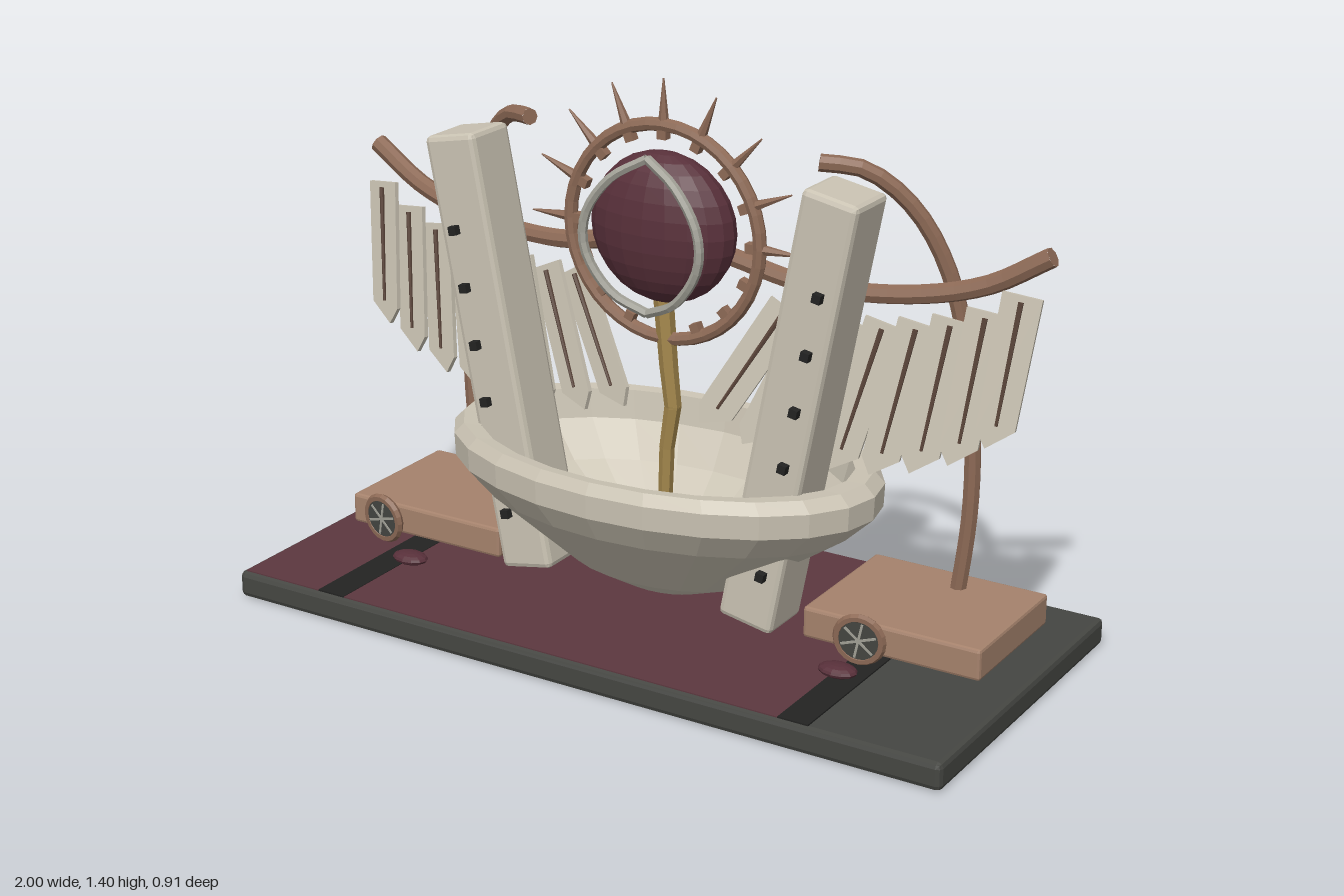
import * as THREE from 'three';
import { RoundedBoxGeometry } from 'three/addons/geometries/RoundedBoxGeometry.js';

const colours = {
  ivory: 0xcac3b3, tan: 0xa5826c, bronze: 0x8d6a56, darkBrown: 0x5b453a, charcoal: 0x454642,
  black: 0x232322, maroon: 0x5c383f, orbRed: 0x58303a, gold: 0xa3874c, silver: 0xa3a298,
};
const mat = {};
for (const [name, color] of Object.entries(colours)) {
  mat[name] = new THREE.MeshStandardMaterial({ color });
  mat[name].name = name;
}

// Faceted mesh: every face gets its own normal
function add(parent, name, geo, material, x = 0, y = 0, z = 0) {
  const g = geo.index ? geo.toNonIndexed() : geo;
  g.computeVertexNormals();
  const mesh = new THREE.Mesh(g, material);
  mesh.name = name;
  mesh.position.set(x, y, z);
  parent.add(mesh);
  return mesh;
}

const box = (w, h, d) => new THREE.BoxGeometry(w, h, d);
const bevelBox = (w, h, d, r) => new RoundedBoxGeometry(w, h, d, 1, r);

// Tube with closed ends through a list of points; s mirrors x
function rod(parent, name, pts, radius, material, s = 1, segments = 20, sides = 8) {
  const v = pts.map(p => new THREE.Vector3(p[0] * s, p[1], p[2]));
  const curve = new THREE.CatmullRomCurve3(v);
  add(parent, name, new THREE.TubeGeometry(curve, segments, radius, sides), material);
  for (const [t, sign] of [[0, -1], [1, 1]]) {
    const cap = add(parent, name + 'End', new THREE.CircleGeometry(radius, sides), material);
    cap.position.copy(curve.getPoint(t));
    cap.quaternion.setFromUnitVectors(new THREE.Vector3(0, 0, 1), curve.getTangent(t).multiplyScalar(sign));
  }
  return curve;
}

function buildBase(root) {
  const g = new THREE.Group();
  g.name = 'base';
  root.add(g);
  add(g, 'baseSlab', bevelBox(2, 0.07, 0.91, 0.014), mat.charcoal, 0, 0.035, 0);
  add(g, 'carpet', box(1.565, 0.003, 0.886), mat.maroon, -0.2025, 0.071, 0);
  for (const x of [-0.71, 0.62]) add(g, 'topStripe', box(0.08, 0.004, 0.888), mat.black, x, 0.072, 0);
}

function buildBowl(root) {
  const profile = [[0, 0.105], [0.12, 0.107], [0.26, 0.16], [0.40, 0.255], [0.51, 0.33], [0.585, 0.40], [0.588, 0.46],
    [0.56, 0.488], [0.51, 0.485], [0.49, 0.41], [0.40, 0.32], [0.25, 0.23], [0.1, 0.19], [0, 0.185]];
  const geo = new THREE.LatheGeometry(profile.map(p => new THREE.Vector2(...p)), 24);
  geo.scale(1, 1, 0.6);
  add(root, 'bowl', geo, mat.ivory);
}

function buildHalo(root) {
  const g = new THREE.Group();
  g.name = 'halo';
  root.add(g);
  const orb = new THREE.SphereGeometry(1, 20, 14);
  orb.scale(0.197, 0.188, 0.1);
  add(g, 'orb', orb, mat.orbRed, 0, 1.035, 0);
  add(g, 'ring', new THREE.TorusGeometry(0.267, 0.017, 8, 40), mat.bronze, 0, 1.02, 0);
  // Radial studs inside the ring, long spikes over the upper half
  for (let i = 0; i < 16; i++) {
    const a = i * Math.PI / 8;
    const dir = [Math.cos(a), Math.sin(a)];
    const stud = add(g, 'ringStud', box(0.024, 0.03, 0.024), mat.bronze, dir[0] * 0.247, 1.02 + dir[1] * 0.247, 0);
    stud.rotation.z = a - Math.PI / 2;
    if (i > 8) continue;
    const spike = add(g, 'spike', new THREE.CylinderGeometry(0.002, 0.013, 0.105, 6), mat.bronze,
      dir[0] * 0.327, 1.02 + dir[1] * 0.327, 0);
    spike.rotation.z = a - Math.PI / 2;
  }
  // Almond-shaped lids in front of the orb
  for (const s of [-1, 1]) {
    rod(g, 'lid', [[0, 1.22, 0.075], [0.09, 1.165, 0.095], [0.155, 1.07, 0.105], [0.158, 0.98, 0.105],
      [0.09, 0.88, 0.095], [0, 0.835, 0.075]], 0.012, mat.silver, s, 20, 6);
  }
  // Kinked stem dropping into the bowl
  const stem = [[0, 0.85], [0.015, 0.68], [0.027, 0.58], [0.01, 0.47], [0, 0.19]];
  for (let i = 0; i < 4; i++) {
    const [a, b] = [stem[i], stem[i + 1]];
    const dx = b[0] - a[0], dy = b[1] - a[1];
    const part = add(g, 'stem', new THREE.CylinderGeometry(0.025 - i * 0.002, 0.023 - i * 0.002, Math.hypot(dx, dy) + 0.008, 6),
      mat.gold, (a[0] + b[0]) / 2, (a[1] + b[1]) / 2, 0);
    part.rotation.z = Math.atan2(-dx, dy) + Math.PI;
  }
}

function buildPillar(root, s) {
  const g = new THREE.Group();
  g.name = 'pillar';
  g.position.set(s * 0.422, 0.67, 0.07);
  g.rotation.z = -s * 0.19;
  root.add(g);
  add(g, 'pillarShaft', bevelBox(0.148, 1.12, 0.155, 0.014), mat.ivory);
  for (let i = 0; i < 6; i++) {
    add(g, 'pillarStud', box(0.022, 0.022, 0.026), mat.black, s * 0.025, 0.325 - i * 0.147, 0.084);
  }
}

function buildWing(root, s) {
  const g = new THREE.Group();
  g.name = 'wing';
  root.add(g);
  const arm = rod(g, 'wingArm', [[0.15, 0.965, -0.07], [0.35, 0.93, -0.075], [0.6, 0.94, -0.095],
    [0.8, 0.99, -0.115], [0.955, 1.08, -0.13]], 0.024, mat.bronze, s);
  const samples = arm.getPoints(80);
  // Row of feathers leaning further inward toward the centre
  for (let i = 0; i < 8; i++) {
    const t = i / 7;
    const x = 0.905 - i * 0.086;
    const near = samples.reduce((a, b) => Math.abs(b.x * s - x) < Math.abs(a.x * s - x) ? b : a);
    const len = 0.37 + 0.02 * Math.sin(t * Math.PI), w = 0.048;
    const shape = new THREE.Shape([[-w, 0], [w, 0], [w * 0.95, -len + 0.055], [-w * 0.35, -len], [-w * 0.95, -len + 0.04]]
      .map(p => new THREE.Vector2(p[0] * s, p[1])));
    const feather = new THREE.Group();
    feather.name = 'feather';
    feather.position.set(s * x, near.y - 0.055 - 0.02 * t, -0.09 + 0.015 * t);
    feather.rotation.set(-0.13, s * 0.18, -s * (0.1 + 0.42 * t * t), 'XYZ');
    g.add(feather);
    add(feather, 'featherVane', new THREE.ExtrudeGeometry(shape, { depth: 0.012, bevelEnabled: false }), mat.ivory);
    add(feather, 'featherQuill', new THREE.CylinderGeometry(0.007, 0.004, len * 0.8, 6), mat.darkBrown, 0, -len * 0.44, 0.014);
  }
}

function buildStand(root, s) {
  const g = new THREE.Group();
  g.name = 'sideStand';
  root.add(g);
  add(g, 'plinth', bevelBox(0.47, 0.08, 0.38, 0.008), mat.tan, s * 0.68, 0.135, -0.106);
  rod(g, 'curvedPost', [[0.7, 0.075, -0.215], [0.735, 0.4, -0.218], [0.728, 0.68, -0.208], [0.68, 0.97, -0.18],
    [0.6, 1.14, -0.135], [0.5, 1.23, -0.08], [0.405, 1.245, -0.03]], 0.021, mat.bronze, s, 28);

  // Medallion with a crossed face
  const m = new THREE.Group();
  m.name = 'medallion';
  m.position.set(s * 0.685, 0.215, 0.25);
  m.rotation.set(0.06, s * 0.15, 0);
  g.add(m);
  add(m, 'medallionRim', new THREE.TorusGeometry(0.055, 0.011, 6, 20), mat.bronze);
  const disc = new THREE.CylinderGeometry(0.05, 0.05, 0.016, 20);
  disc.rotateX(Math.PI / 2);
  add(m, 'medallionFace', disc, mat.charcoal);
  for (let i = 0; i < 3; i++) {
    add(m, 'medallionSpoke', box(0.09, 0.006, 0.02), mat.silver).rotation.z = 0.3 + i * Math.PI / 3;
  }
  // Small flattened gem below the medallion
  const gem = new THREE.SphereGeometry(1, 12, 8);
  gem.scale(0.05, 0.016, 0.035);
  add(g, 'gem', gem, mat.orbRed, s * 0.62, 0.113, 0.23);
}

export function createModel() {
  const root = new THREE.Group();
  root.name = 'wingedShrine';
  buildBase(root);
  buildBowl(root);
  buildHalo(root);
  for (const s of [-1, 1]) {
    buildPillar(root, s);
    buildWing(root, s);
    buildStand(root, s);
  }
  return root;
}
